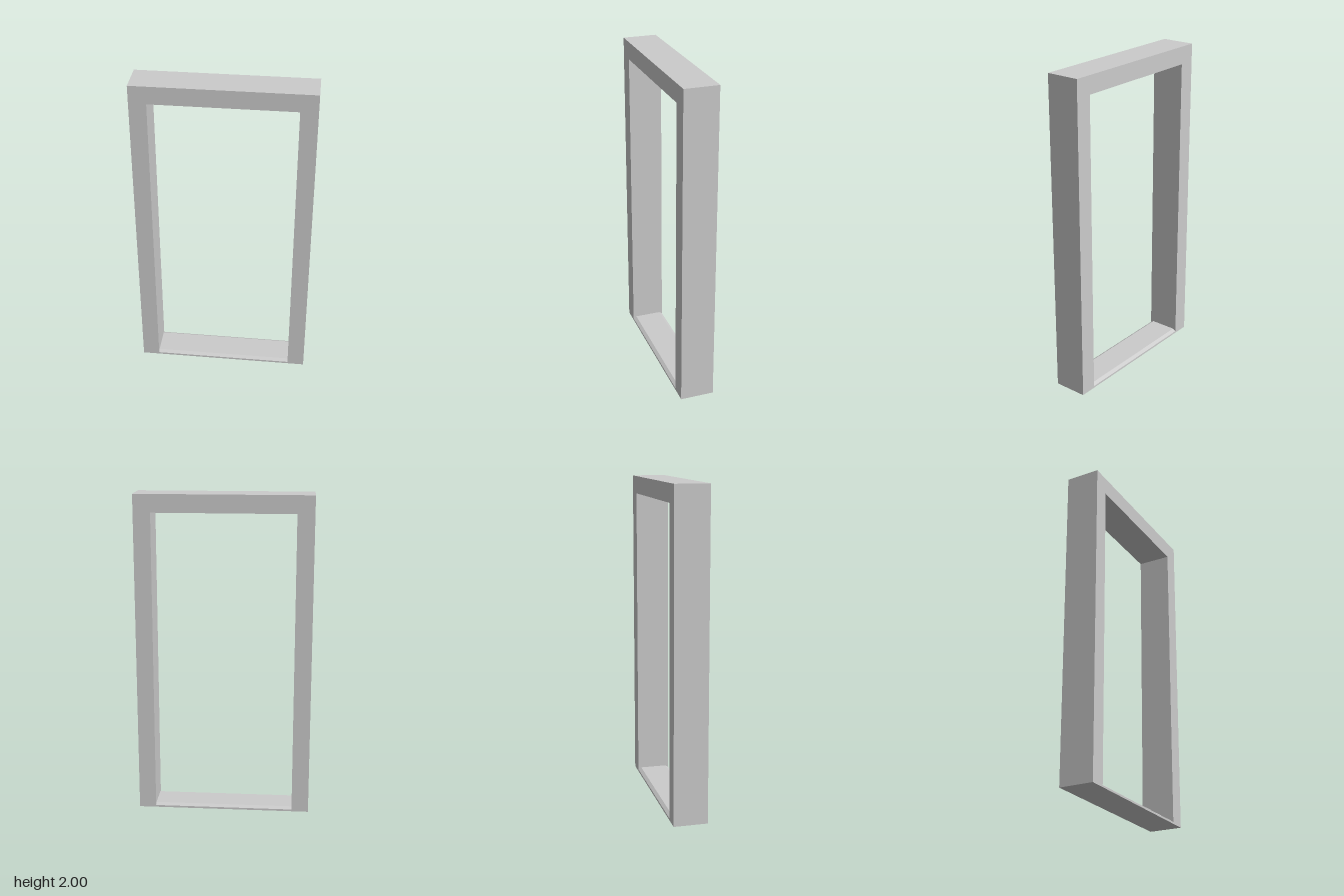
import * as THREE from 'three';

const W = 0.54, H = 2, D = 0.105;   // half width, height, half depth
const IN = 0.435, TOP = 1.89;       // half width and top of the opening

// Extrudes a closed outline by a length, centred on its extrusion axis
function extrude(name, points, length, material) {
  const shape = new THREE.Shape(points.map(([x, y]) => new THREE.Vector2(x, y)));
  const geometry = new THREE.ExtrudeGeometry(shape, { depth: length, bevelEnabled: false });
  geometry.translate(0, 0, -length / 2);
  const mesh = new THREE.Mesh(geometry, material);
  mesh.name = name;
  return mesh;
}

export function createModel() {
  const group = new THREE.Group();
  group.name = 'doorFrame';
  const material = new THREE.MeshStandardMaterial({ color: 0xcccccc });

  // Two jambs and the head in one piece
  group.add(extrude('jambsAndHead', [
    [-W, 0], [-IN, 0], [-IN, TOP], [IN, TOP], [IN, 0], [W, 0], [W, H], [-W, H],
  ], D * 2, material));

  // Low threshold with chamfered front and back edges, running along x
  const threshold = extrude('threshold', [
    [-D, 0], [D, 0], [D, 0.012], [D - 0.02, 0.025], [-D + 0.02, 0.025], [-D, 0.012],
  ], IN * 2, material);
  threshold.geometry.rotateY(Math.PI / 2);
  group.add(threshold);

  return group;
}
